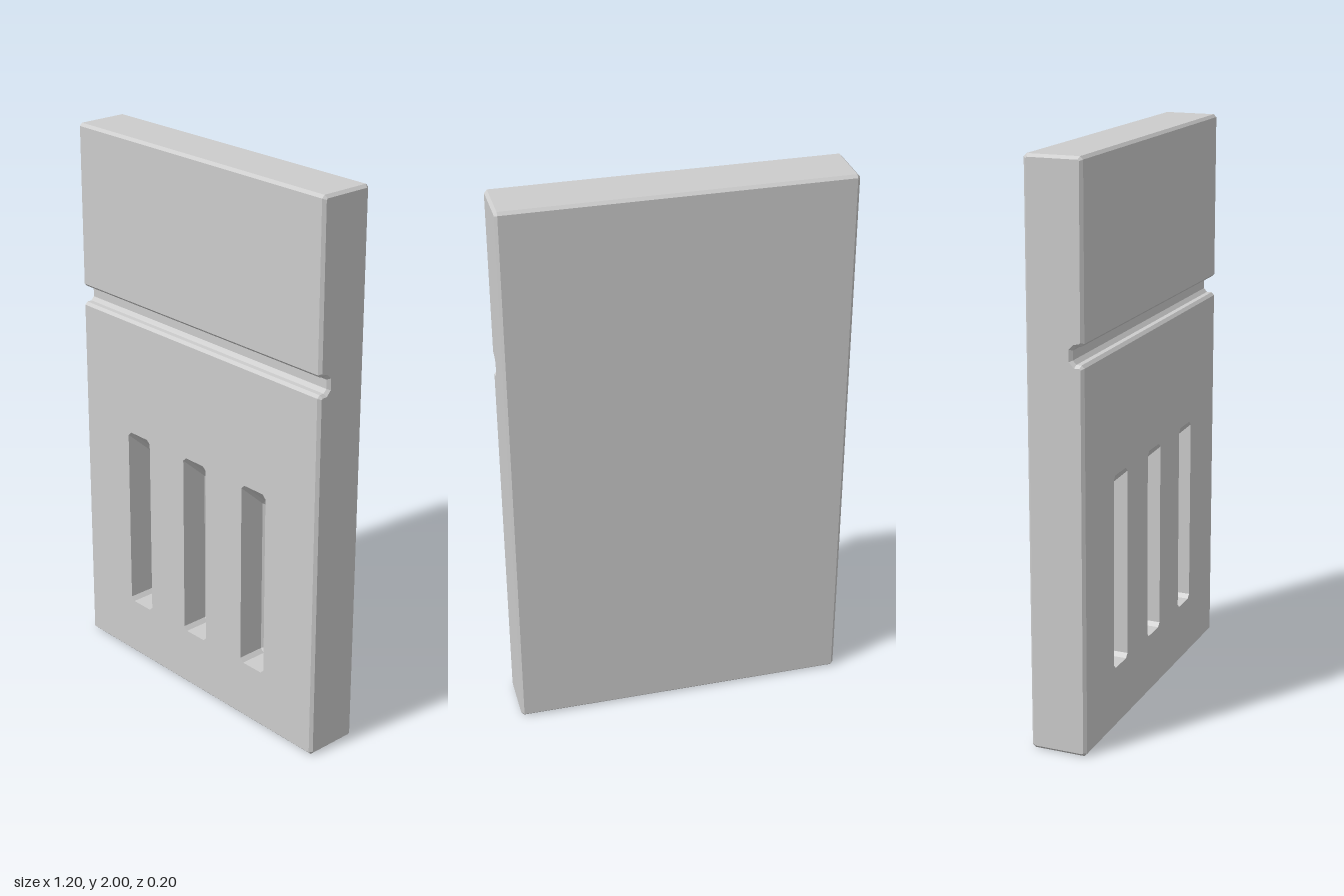
import * as THREE from 'three';

const W = 0.6, H = 2, D = 0.1, C = 0.01; // half width, height, half depth, chamfer
const V3 = (x, y, z) => new THREE.Vector3(x, y, z);

// Quads between two closed rings of equal length, optionally leaving one side open
function loft(out, A, B, skip = -1) {
  A.forEach((a, i) => {
    if (i === skip) return;
    const j = (i + 1) % A.length;
    out.push(a, B[i], B[j], a, B[j], A[j]);
  });
}

// Flat cap over a planar outline with optional holes
function cap(out, ring, flat, holes = [], flip = false) {
  const all = [ring, ...holes].flat();
  const tris = THREE.ShapeUtils.triangulateShape(ring.map(flat), holes.map(h => h.map(flat)));
  for (const [a, b, c] of tris) out.push(all[a], all[flip ? c : b], all[flip ? b : c]);
}

function makeMesh(name, points) {
  const geometry = new THREE.BufferGeometry().setFromPoints(points);
  geometry.computeVertexNormals();
  const material = new THREE.MeshStandardMaterial({ color: 0xcccccc, flatShading: true });
  const mesh = new THREE.Mesh(geometry, material);
  mesh.name = name;
  return mesh;
}

// Side profile as (z, y), with the horizontal groove cut into the front
const profile = [
  [-D + C, 0], [D - C, 0], [D, C],
  [D, 1.335], [0.09, 1.345], [0.072, 1.345], [0.06, 1.358],
  [0.06, 1.39], [0.072, 1.402], [0.09, 1.405], [D, 1.415],
  [D, H - C], [D - C, H], [-D + C, H], [-D, H - C], [-D, C],
].map(p => new THREE.Vector2(...p));

// Move every edge of the profile inwards by d
function inset(points, d) {
  const n = points.length;
  const normal = i => {
    const e = points[(i + 1) % n].clone().sub(points[i]).normalize();
    return new THREE.Vector2(e.y, -e.x);
  };
  return points.map((p, i) => {
    const n1 = normal((i + n - 1) % n), n2 = normal(i);
    return p.clone().addScaledVector(n1.clone().add(n2), -d / (1 + n1.dot(n2)));
  });
}

// Slot outline with clipped corners
function slotRing(cx, z, hw, y0, y1, c) {
  return [
    [-hw + c, y0], [hw - c, y0], [hw, y0 + c], [hw, y1 - c],
    [hw - c, y1], [-hw + c, y1], [-hw, y1 - c], [-hw, y0 + c],
  ].map(([x, y]) => V3(cx + x, y, z));
}

export function createModel() {
  const group = new THREE.Group();
  group.name = 'slottedPanel';
  const at = (pts, x) => pts.map(p => V3(x, p.y, p.x));
  const zy = p => new THREE.Vector2(p.z, p.y);
  const xy = p => new THREE.Vector2(p.x, p.y);

  // Panel body: chamfered ends, the lower front face is left open
  const small = inset(profile, C);
  const rings = [at(small, -W), at(profile, -W + C), at(profile, W - C), at(small, W)];
  const body = [];
  loft(body, rings[0], rings[1]);
  loft(body, rings[1], rings[2], 2);
  loft(body, rings[2], rings[3]);
  cap(body, rings[0], zy);
  cap(body, rings[3], zy, [], true);
  group.add(makeMesh('panelBody', body));

  // Three recessed slots with sloping upper ends
  const openings = [];
  for (const [name, x] of [['rightSlot', -0.3], ['middleSlot', 0], ['leftSlot', 0.3]]) {
    const opening = slotRing(x, D, 0.059, 0.22, 0.912, 0.014);
    const lower = slotRing(x, 0, 0.059, 0.22, 0.822, 0.014);
    const floor = slotRing(x, -0.012, 0.047, 0.232, 0.81, 0.008);
    const slot = [];
    loft(slot, lower, opening);
    loft(slot, floor, lower);
    cap(slot, floor, xy);
    openings.push(opening);
    group.add(makeMesh(name, slot));
  }

  // Lower front face, pierced by the slot openings
  const face = [];
  const corners = [[-W + C, C], [W - C, C], [W - C, 1.335], [-W + C, 1.335]];
  cap(face, corners.map(([x, y]) => V3(x, y, D)), xy, openings);
  group.add(makeMesh('lowerFrontFace', face));

  return group;
}
